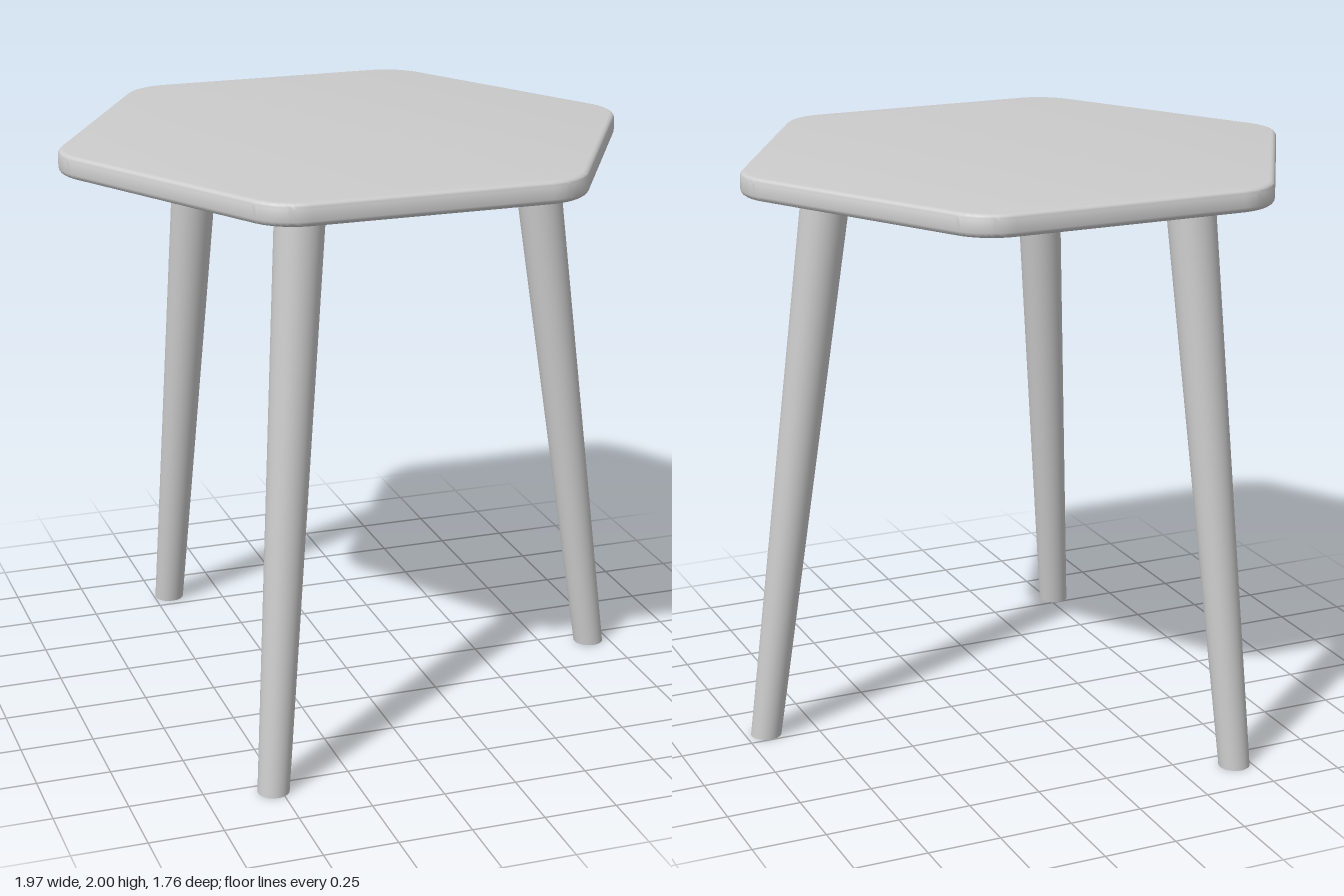
import * as THREE from 'three';
import { toCreasedNormals } from 'three/addons/utils/BufferGeometryUtils.js';

const SEAT_BOTTOM = 1.925;
const SEAT_TOP = 2;

// Hexagon with its corners rounded by arcs
function roundedHexagon(apothem, radius) {
  const shape = new THREE.Shape();
  const reach = (apothem - radius) / Math.cos(Math.PI / 6);
  for (let i = 0; i < 6; i++) {
    const a = (i * Math.PI) / 3;
    shape.absarc(reach * Math.cos(a), reach * Math.sin(a), radius, a - Math.PI / 6, a + Math.PI / 6, false);
  }
  shape.closePath();
  return shape;
}

// Slab with softly rounded upper and lower rims
function makeSeat(material) {
  const bevel = 0.018;
  const geometry = new THREE.ExtrudeGeometry(roundedHexagon(0.868, 0.19), {
    depth: SEAT_TOP - SEAT_BOTTOM - 2 * bevel,
    bevelThickness: bevel,
    bevelSize: bevel,
    bevelOffset: -bevel,
    bevelSegments: 4,
    curveSegments: 10,
  });
  geometry.rotateX(-Math.PI / 2);
  geometry.translate(0, SEAT_BOTTOM + bevel, 0);
  const seat = new THREE.Mesh(toCreasedNormals(geometry, 0.6), material);
  seat.name = 'seat';
  return seat;
}

// Tapered leg, sheared from foot to seat so both ends stay level
function makeLeg(foot, top, material) {
  const h = SEAT_BOTTOM;
  const geometry = new THREE.CylinderGeometry(0.082, 0.053, h, 40);
  geometry.translate(0, h / 2, 0);
  geometry.applyMatrix4(new THREE.Matrix4().set(
    1, (top.x - foot.x) / h, 0, foot.x,
    0, 1, 0, 0,
    0, (top.y - foot.y) / h, 1, foot.y,
    0, 0, 0, 1,
  ));
  return new THREE.Mesh(geometry, material);
}

export function createModel() {
  const material = new THREE.MeshStandardMaterial({ color: 0xcccccc });
  const stool = new THREE.Group();
  stool.name = 'stool';
  stool.add(makeSeat(material));

  // Three splayed legs, each leaning slightly around the centre
  const polar = (r, a) => new THREE.Vector2(r * Math.cos(a), r * Math.sin(a));
  ['leftLeg', 'frontRightLeg', 'backRightLeg'].forEach((name, i) => {
    const angle = (i * 2 * Math.PI) / 3;
    const leg = makeLeg(polar(0.942, angle + 0.05), polar(0.688, angle), material);
    leg.name = name;
    stool.add(leg);
  });

  // Balance the uneven leg spread about the origin
  stool.position.set(-0.013, 0, 0.008);
  return stool;
}
